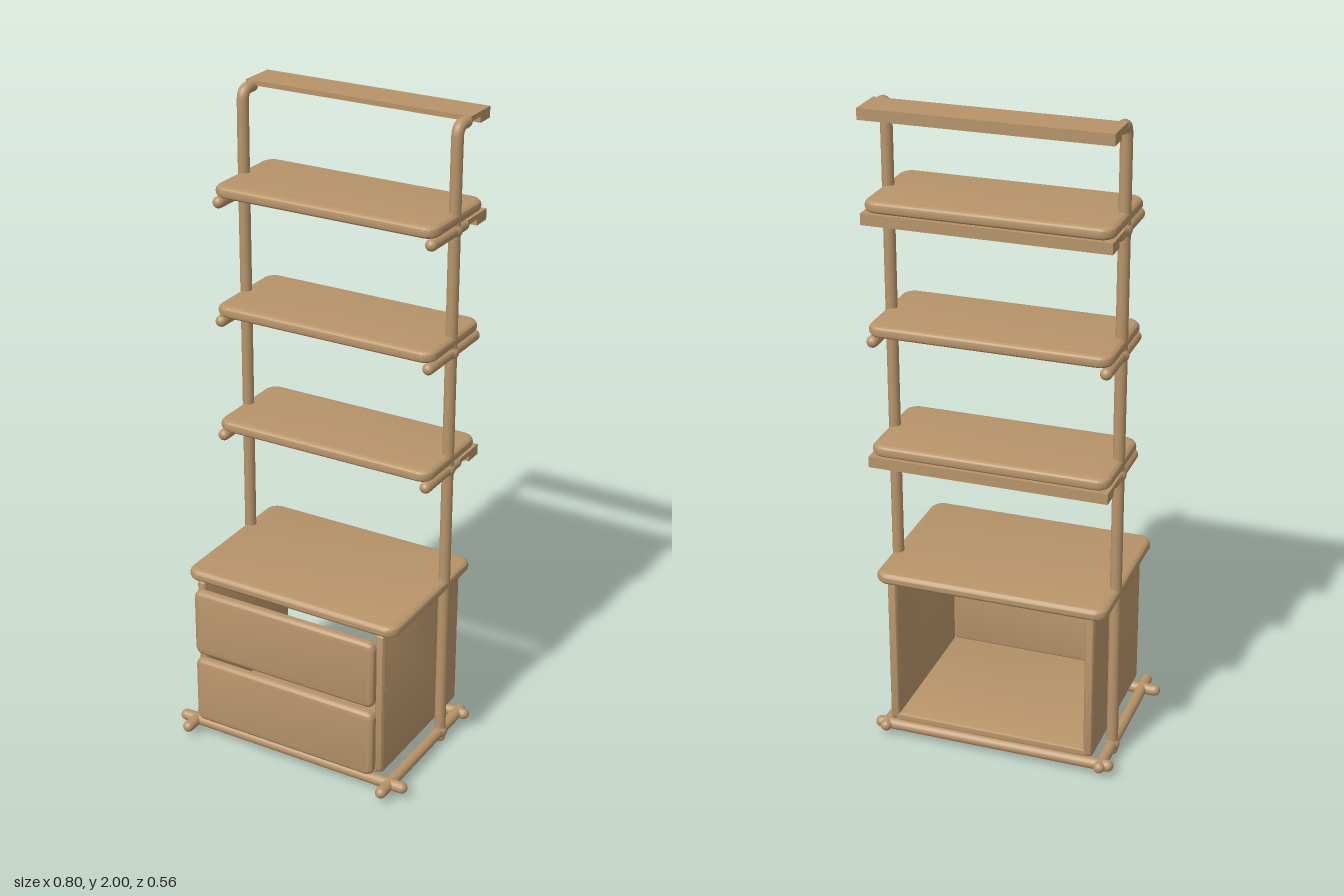
import * as THREE from 'three';
import { toCreasedNormals } from 'three/addons/utils/BufferGeometryUtils.js';

const wood = new THREE.MeshStandardMaterial({ color: 0xb7946a });
wood.name = 'wood';
const R = 0.0175; // tube radius
const POST_X = 0.343, POST_Z = -0.119;

// Flat board with rounded edges, lying in its xy plane and centred on the origin
function boardGeometry(w, h, t, corner, edge = t / 2) {
  const x = w / 2 - edge, y = h / 2 - edge, c = Math.max(corner - edge, 0.002);
  const s = new THREE.Shape();
  s.moveTo(-x + c, -y);
  s.lineTo(x - c, -y);
  s.absarc(x - c, -y + c, c, -Math.PI / 2, 0);
  s.absarc(x - c, y - c, c, 0, Math.PI / 2);
  s.absarc(-x + c, y - c, c, Math.PI / 2, Math.PI);
  s.absarc(-x + c, -y + c, c, Math.PI, Math.PI * 1.5);
  const depth = Math.max(t - 2 * edge, 0.0005);
  const g = new THREE.ExtrudeGeometry(s, {
    depth, bevelEnabled: true, bevelThickness: edge, bevelSize: edge, bevelSegments: 6, curveSegments: 8,
  });
  g.translate(0, 0, -depth / 2);
  return toCreasedNormals(g, 0.6);
}

export function createModel() {
  const model = new THREE.Group();
  model.name = 'shelvingUnit';

  function add(name, geometry, x = 0, y = 0, z = 0) {
    const mesh = new THREE.Mesh(geometry, wood);
    mesh.name = name;
    mesh.position.set(x, y, z);
    model.add(mesh);
    return mesh;
  }

  // Round-ended rod along an axis, from a to b
  function rod(name, axis, a, b, x, y, z) {
    const g = new THREE.CapsuleGeometry(R, b - a - 2 * R, 8, 20);
    if (axis === 'x') g.rotateZ(Math.PI / 2);
    if (axis === 'z') g.rotateX(Math.PI / 2);
    const mesh = add(name, g, x, y, z);
    mesh.position[axis] = (a + b) / 2;
  }

  function shelf(name, y, front) {
    const back = -0.278;
    const g = boardGeometry(0.72, front - back, 0.036, 0.042);
    g.rotateX(-Math.PI / 2);
    add(name, g, 0, y, (front + back) / 2);
  }

  // Stepped rail: thin plate in front, thicker lip behind
  function backRail(name, top) {
    const s = new THREE.Shape();
    [[0.165, 0], [0.28, 0], [0.28, -0.033], [0.222, -0.033], [0.222, -0.015], [0.165, -0.015]]
      .forEach(([a, b], i) => (i ? s.lineTo(a, b) : s.moveTo(a, b)));
    const g = new THREE.ExtrudeGeometry(s, { depth: 0.72, bevelEnabled: false });
    g.translate(0, 0, -0.36);
    g.rotateY(Math.PI / 2);
    add(name, g, 0, top, 0);
  }

  // Posts, bent backwards at the top
  const topY = 2 - R, bend = 0.03;
  const path = new THREE.CurvePath();
  path.add(new THREE.LineCurve3(new THREE.Vector3(0, R, 0), new THREE.Vector3(0, topY - bend, 0)));
  path.add(new THREE.QuadraticBezierCurve3(
    new THREE.Vector3(0, topY - bend, 0), new THREE.Vector3(0, topY, 0), new THREE.Vector3(0, topY, -bend)));
  path.add(new THREE.LineCurve3(new THREE.Vector3(0, topY, -bend), new THREE.Vector3(0, topY, -0.05)));
  const postPoints = [new THREE.Vector3(0, R, 0), new THREE.Vector3(0, 1, 0)];
  for (const c of path.curves.slice(1)) postPoints.push(...c.getPoints(6));
  const postCurve = new THREE.CatmullRomCurve3(
    postPoints.filter((p, i) => !i || p.distanceTo(postPoints[i - 1]) > 1e-5), false, 'centripetal');
  const postGeometry = new THREE.TubeGeometry(postCurve, 300, R, 20);
  const ball = new THREE.SphereGeometry(R, 20, 12);
  const joint = new THREE.SphereGeometry(0.023, 20, 12);

  const levels = [
    { y: 0.984, rail: true },
    { y: 1.355, rail: false },
    { y: 1.721, rail: true },
  ];

  for (const side of [-1, 1]) {
    const x = side * POST_X;
    add('post', postGeometry, x, 0, POST_Z);
    add('postFoot', ball, x, R, POST_Z);
    add('postEnd', ball, x, topY, POST_Z - 0.05);
    rod('baseSideRod', 'z', -0.272, 0.277, x, 0.038, 0);
    add('baseJoint', joint, x, 0.038, POST_Z);
    // Shelf support arms
    for (const { y, rail } of levels) {
      rod('shelfArm', 'z', rail ? -0.187 : -0.278, 0.036, x, y - 0.034, 0);
      add('armJoint', joint, x, y - 0.034, POST_Z);
    }
  }

  // Open shelves with a slat between the posts
  for (const { y, rail } of levels) {
    shelf('shelf', y, 0.036);
    add('shelfSlat', new THREE.BoxGeometry(2 * POST_X, 0.052, 0.024), 0, y - 0.043, POST_Z);
    if (rail) backRail('shelfBackRail', y - 0.017);
  }
  backRail('topRail', 2);

  // Base cross rods
  rod('baseFrontRod', 'x', -0.402, 0.402, 0, 0.038, 0.207);
  rod('baseBackRod', 'x', -0.382, 0.382, 0, 0.038, -0.238);

  // Cabinet, open at the back
  shelf('cabinetTop', 0.564, 0.226);
  for (const side of [-1, 1]) {
    const g = boardGeometry(0.484, 0.485, 0.03, 0.018, 0.012);
    g.rotateY(Math.PI / 2);
    add('cabinetSide', g, side * 0.308, 0.3125, -0.022);
  }
  const floor = boardGeometry(0.62, 0.484, 0.025, 0.014, 0.008);
  floor.rotateX(-Math.PI / 2);
  add('cabinetFloor', floor, 0, 0.083, -0.022);

  // Drawer fronts
  for (const y of [0.189, 0.427]) {
    add('drawerFront', boardGeometry(0.622, 0.222, 0.036, 0.026), 0, y, 0.243);
  }
  return model;
}
